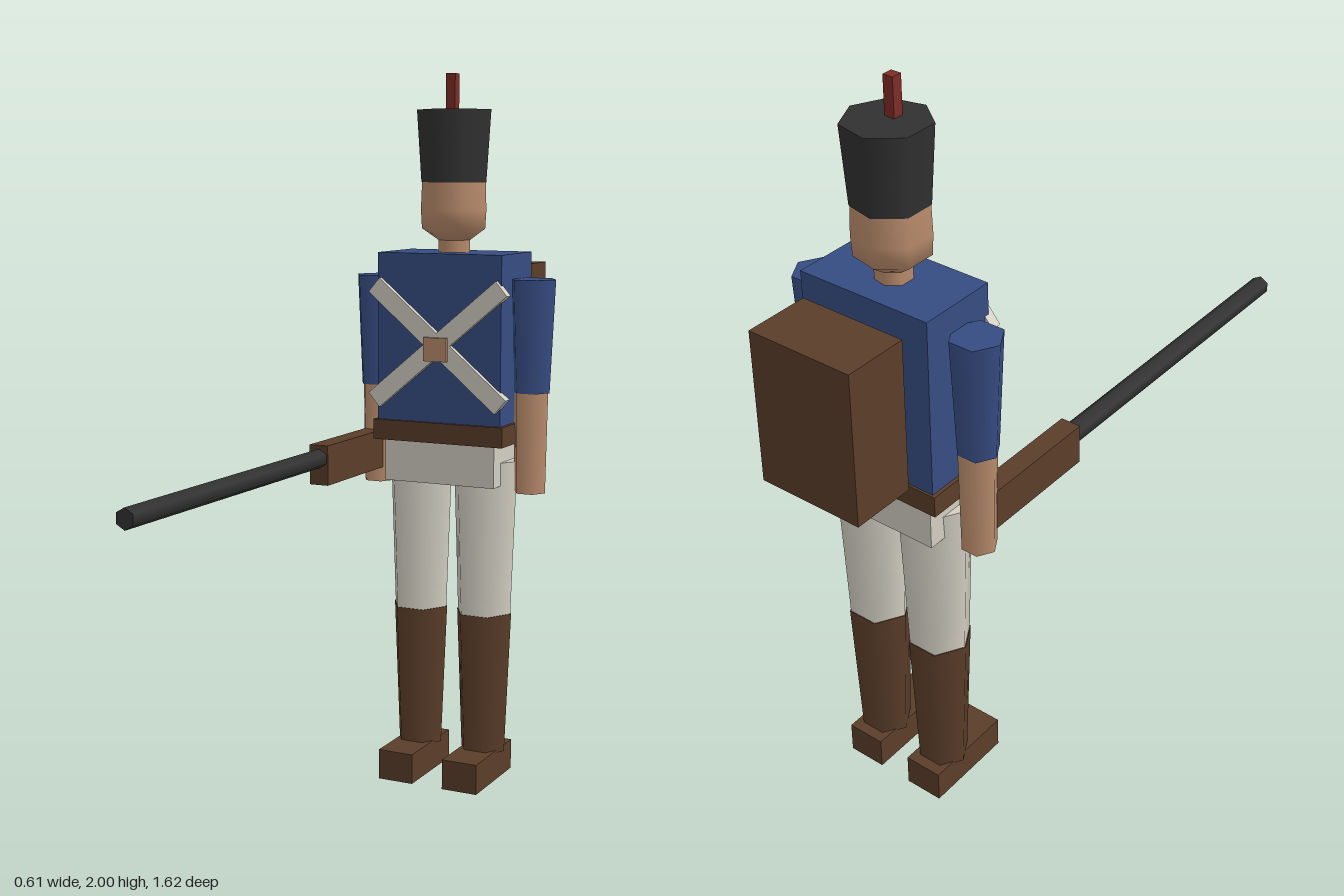
import * as THREE from 'three';

const mat = (name, color) => {
  const m = new THREE.MeshStandardMaterial({ color });
  m.name = name;
  return m;
};

export function createModel() {
  const blue = mat('coat blue', 0x364c82);
  const brown = mat('leather brown', 0x5a3d29);
  const white = mat('trouser white', 0xd2cec2);
  const skin = mat('skin', 0xba8c6c);
  const black = mat('black', 0x313131);
  const red = mat('plume red', 0x7c2c26);

  const model = new THREE.Group();
  model.name = 'toySoldier';
  const CZ = -0.486; // body centre line in z

  const add = (name, geometry, material, x, y, z) => {
    const mesh = new THREE.Mesh(geometry, material);
    mesh.name = name;
    mesh.position.set(x, y, z);
    model.add(mesh);
    return mesh;
  };
  // Box given by its extents
  const box = (name, material, x0, x1, y0, y1, z0, z1) =>
    add(name, new THREE.BoxGeometry(x1 - x0, y1 - y0, z1 - z0), material,
      (x0 + x1) / 2, (y0 + y1) / 2, (z0 + z1) / 2);
  // Upright tapered prism with a corner pointing to +x
  const taper = (name, material, x, y0, y1, rBottom, rTop, sides) =>
    add(name, new THREE.CylinderGeometry(rTop, rBottom, y1 - y0, sides, 1, false, Math.PI / 2),
      material, x, (y0 + y1) / 2, CZ);

  // Trunk
  box('torso', blue, -0.187, 0.187, 1.03, 1.512, -0.596, -0.38);
  box('belt', brown, -0.197, 0.197, 0.985, 1.042, -0.602, -0.371);
  box('hips', white, -0.167, 0.167, 0.867, 0.99, -0.584, -0.387);
  box('backpack', brown, -0.147, 0.147, 1.062, 1.472, -0.808, -0.633);

  // Crossed chest straps and buckle
  for (const s of [-1, 1]) {
    const strap = add('chestStrap', new THREE.BoxGeometry(0.503, 0.052, 0.028), white, 0, 1.26, -0.379);
    strap.rotation.z = s * 0.7;
  }
  box('strapBuckle', skin, -0.035, 0.035, 1.216, 1.282, -0.38, -0.354);

  // Arms and legs, mirrored
  for (const [side, s] of [['right', -1], ['left', 1]]) {
    taper(side + 'Sleeve', blue, s * 0.237, 1.13, 1.443, 0.053, 0.067, 6);
    taper(side + 'Forearm', skin, s * 0.235, 0.848, 1.14, 0.046, 0.051, 6);
    taper(side + 'Trouser', white, s * 0.1, 0.48, 0.932, 0.081, 0.097, 6);
    taper(side + 'Boot', brown, s * 0.1, 0.08, 0.49, 0.067, 0.084, 6);
    box(side + 'Foot', brown, s * 0.1 - 0.053, s * 0.1 + 0.053, 0, 0.087, -0.574, -0.318);
  }

  // Neck and head with a rounded chin
  taper('neck', skin, 0, 1.5, 1.57, 0.046, 0.046, 7);
  const profile = [[0, 1.541], [0.045, 1.545], [0.092, 1.578], [0.095, 1.63], [0.092, 1.71]]
    .map(([r, y]) => new THREE.Vector2(r, y));
  add('head', new THREE.LatheGeometry(profile, 7, Math.PI / 2), skin, 0, 0, CZ);

  // Tall hat and plume
  taper('hat', black, 0, 1.705, 1.903, 0.094, 0.107, 7);
  box('plume', red, -0.014, 0.014, 1.88, 2, -0.478, -0.45);

  // Musket held level in the right hand
  box('musketStock', brown, -0.263, -0.207, 0.89, 1.0, -0.519, -0.115);
  const barrel = add('musketBarrel', new THREE.CylinderGeometry(0.027, 0.027, 0.948, 6), black, -0.235, 0.963, 0.333);
  barrel.rotation.x = Math.PI / 2;

  return model;
}
